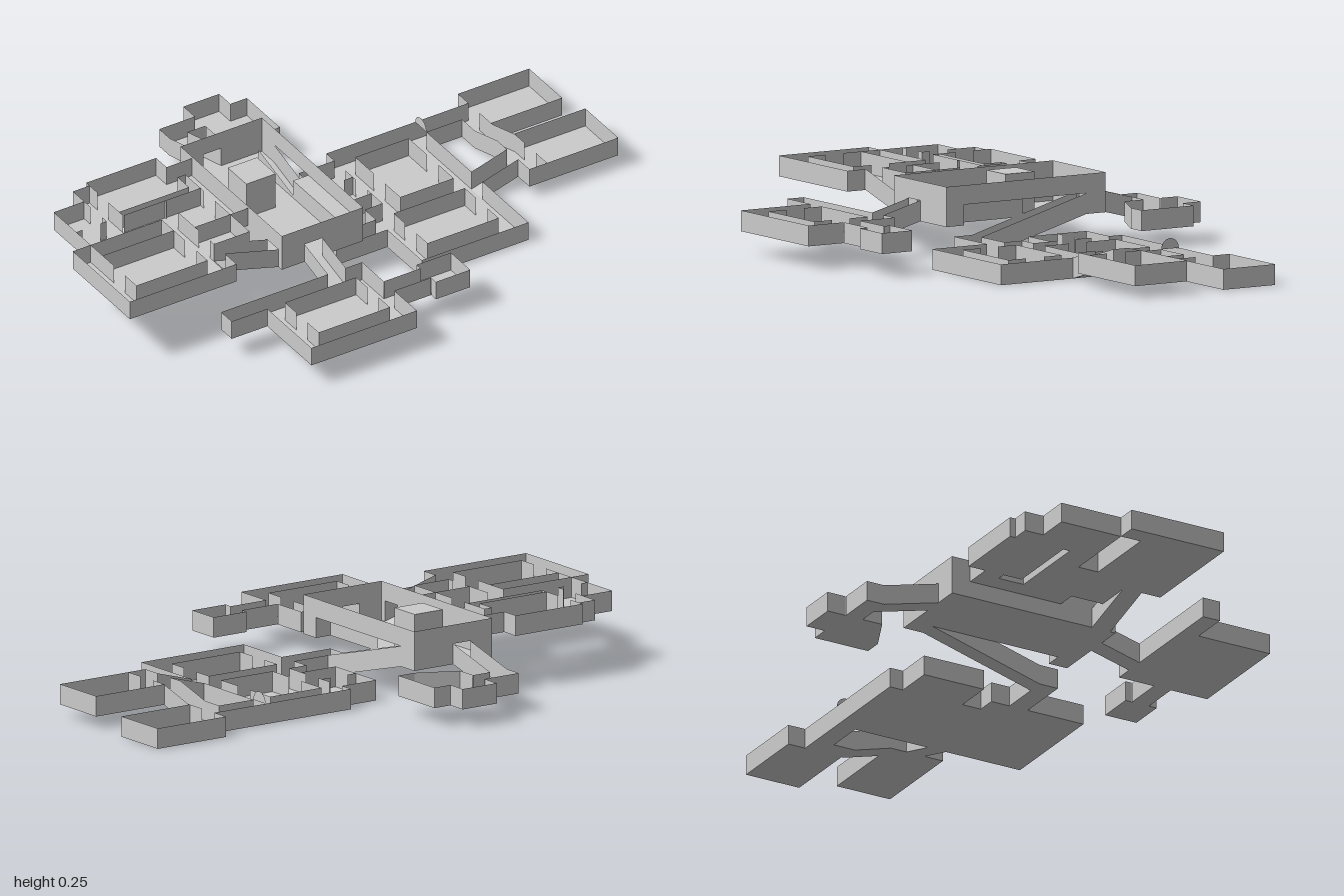
import * as THREE from 'three';

const H = 0.07; // storey wall height
const mat = new THREE.MeshStandardMaterial({ color: 0xcccccc, side: THREE.DoubleSide, flatShading: true });

// Doorway centres [x, z]; any wall passing through one is cut by a corridor width
const doors = [
  // hall and its ramps
  [-0.245, 0.24], [-0.245, 0.385], [-0.245, -0.39], [-0.245, -0.6], [-0.37, 0.185], [-0.58, 0.185],
  [-0.08, -0.315], [-0.08, 0.1], [-0.05, 0.135], [0.09, 0.135],
  // north
  [-0.14, -0.632],
  // south
  [-0.56, 0.415], [-0.145, 0.552], [0, 0.552], [-0.49, 0.555], [-0.21, 0.555],
  // east
  [0.51, -0.285], [0.51, 0.065], [0.65, 0.065], [0.685, -0.25], [0.685, -0.17], [0.685, -0.03],
  [0.72, -0.285], [0.72, 0.065], [0.16, -0.1], [0.16, -0.235], [0.09, -0.155], [0.195, 0.03], [0.475, 0.03],
  [0.23, -0.1], [0.44, -0.1], [0.16, 0.205], [0.44, 0.205],
  // west
  [-0.47, -0.285], [-0.405, -0.25], [-0.44, -0.1], [-0.745, -0.28], [-0.81, -0.22], [-0.777, -0.155],
  [-0.87, -0.155], [-0.58, -0.11], [-0.58, 0.09], [-0.615, -0.065], [-0.93, 0.115], [-0.65, 0.115],
];

function mesh(name, coords, index) {
  const g = new THREE.BufferGeometry();
  g.setAttribute('position', new THREE.Float32BufferAttribute(coords, 3));
  g.setIndex(index);
  g.computeVertexNormals();
  const m = new THREE.Mesh(g, mat);
  m.name = name;
  return m;
}

// Floor plate; points are [x, z, y]
function floor(pts) {
  const tris = THREE.ShapeUtils.triangulateShape(pts.map(p => new THREE.Vector2(p[0], -p[1])), []);
  return mesh('floor', pts.flatMap(p => [p[0], p[2], p[1]]), tris.flat());
}

// Upright panel between two floor points
function panel(a, b, lo, hi) {
  return mesh('wall', [a[0], a[2] + lo, a[1], b[0], b[2] + lo, b[1],
    b[0], b[2] + hi, b[1], a[0], a[2] + hi, a[1]], [0, 1, 2, 0, 2, 3]);
}

// Wall with doorways cut out; tall walls keep a lintel above the opening
function wall(group, a, b, h) {
  const dx = b[0] - a[0], dz = b[1] - a[1], len = Math.hypot(dx, dz);
  const at = s => a.map((v, i) => v + (b[i] - v) * s / len);
  const cuts = doors
    .filter(d => Math.abs((d[0] - a[0]) * dz - (d[1] - a[1]) * dx) / len < 0.008)
    .map(d => ((d[0] - a[0]) * dx + (d[1] - a[1]) * dz) / len)
    .filter(t => t > 0.01 && t < len - 0.01)
    .sort((p, q) => p - q);
  let s = 0;
  for (const t of cuts) {
    const from = Math.max(0, t - 0.035), to = Math.min(len, t + 0.035);
    if (from - s > 0.006) group.add(panel(at(s), at(from), 0, h));
    if (h > H + 0.01) group.add(panel(at(from), at(to), H, h));
    s = to;
  }
  if (len - s > 0.006) group.add(panel(at(s), b, 0, h));
}

export function createModel() {
  const model = new THREE.Group();
  const part = name => {
    const g = new THREE.Group();
    g.name = name;
    model.add(g);
    return g;
  };
  // Open-topped space over any outline
  const cell = (name, pts, hasFloor = true, h = H) => {
    const g = part(name);
    if (hasFloor) g.add(floor(pts));
    pts.forEach((p, i) => wall(g, p, pts[(i + 1) % pts.length], h));
    return g;
  };
  const rect = (x0, x1, z0, z1, y) => [[x0, z0, y], [x1, z0, y], [x1, z1, y], [x0, z1, y]];
  const room = (name, x0, x1, z0, z1, y) => cell(name, rect(x0, x1, z0, z1, y));
  const inner = (name, x0, x1, z0, z1, y) => cell(name, rect(x0, x1, z0, z1, y), false);
  const rampX = (name, x0, x1, z0, z1, y0, y1) =>
    cell(name, [[x0, z0, y0], [x1, z0, y1], [x1, z1, y1], [x0, z1, y0]]);
  const rampZ = (name, x0, x1, z0, z1, y0, y1) =>
    cell(name, [[x0, z0, y0], [x1, z0, y0], [x1, z1, y1], [x0, z1, y1]]);

  // Central hall, notched for the stairwell on its left side
  const hy = 0.115, top = 0.25;
  const hall = part('hall');
  const outline = [[-0.11, 0.17], [-0.05, 0.17], [-0.05, 0.24], [-0.37, 0.24], [-0.37, -0.39],
    [-0.05, -0.39], [-0.05, -0.315], [-0.11, -0.315]].map(p => [...p, hy]);
  hall.add(floor(outline));
  for (let i = 1; i < 6; i++) wall(hall, outline[i], outline[i + 1], top - hy);
  // Ledge over the stairwell, its supports and outer wall
  hall.add(floor(rect(-0.11, -0.05, -0.1, 0.17, 0.185)));
  hall.add(panel([-0.11, -0.1, hy], [-0.11, 0.17, hy], 0, H));
  hall.add(panel([-0.11, 0.17, hy], [-0.05, 0.17, hy], 0, H));
  hall.add(panel([-0.05, -0.315, 0.185], [-0.05, 0.17, 0.185], 0, top - 0.185));
  const pillar = new THREE.Mesh(new THREE.BoxGeometry(0.115, top - hy, 0.115), mat);
  pillar.name = 'pillar';
  pillar.position.set(-0.247, (top + hy) / 2, -0.142);
  hall.add(pillar);

  // Ramps leaving the hall
  rampZ('eastRamp', -0.11, -0.05, -0.315, 0.1, hy, 0);
  rampZ('southRamp', -0.28, -0.21, 0.24, 0.385, hy, 0.077);
  rampZ('northRamp', -0.28, -0.21, -0.6, -0.39, 0.06, hy);
  rampX('westRamp', -0.58, -0.37, 0.15, 0.22, 0.175, hy);

  // North wing
  room('northCorridor', -0.28, -0.14, -0.665, -0.6, 0.06);
  cell('northRoom', [[-0.14, -0.735], [0, -0.735], [0, -0.665], [0.065, -0.665], [0.065, -0.46],
    [0, -0.46], [-0.14, -0.525]].map(p => [...p, 0.06]));

  // South wing
  const sy = 0.077;
  room('southGallery', -0.56, -0.145, 0.385, 0.725, sy);
  inner('southChamber', -0.49, -0.21, 0.45, 0.66, sy);
  room('southSideCorridor', -0.7, -0.56, 0.385, 0.45, sy);
  room('southPassage', -0.145, 0, 0.52, 0.585, sy);
  room('southSmallRoom', 0, 0.135, 0.495, 0.615, sy);

  // East wing
  cell('eastLanding', rect(-0.11, -0.05, 0.1, 0.17, 0));
  room('eastPassage', -0.05, 0.09, 0.1, 0.17, 0);
  room('eastGallery', 0.09, 0.51, 0.03, 0.385, 0);
  inner('eastChamber', 0.16, 0.44, 0.1, 0.31, 0);
  room('eastBackGallery', 0.16, 0.51, -0.32, 0.03, 0);
  inner('eastBackChamber', 0.23, 0.44, -0.25, 0.03, 0);
  room('eastClosetBack', 0.02, 0.16, -0.27, -0.155, 0);
  room('eastClosetFront', 0.02, 0.16, -0.155, -0.04, 0);
  rampX('eastUpRamp', 0.51, 0.65, 0.03, 0.1, 0, 0.04);
  room('eastUpperPassage', 0.65, 0.72, -0.03, 0.17, 0.04);
  rampZ('eastDownRamp', 0.65, 0.72, -0.17, -0.03, 0, 0.04);
  room('eastLink', 0.65, 0.72, -0.25, -0.17, 0);
  room('eastBackPassage', 0.51, 0.72, -0.32, -0.25, 0);
  room('eastUpperRoom', 0.72, 1, -0.035, 0.17, 0.04);
  room('eastLowerRoom', 0.72, 1, -0.385, -0.18, 0);
  const arch = new THREE.Mesh(new THREE.CircleGeometry(0.035, 16, 0, Math.PI), mat);
  arch.name = 'doorArch';
  arch.rotation.y = Math.PI / 2;
  arch.position.set(0.51, H, -0.285);
  model.add(arch);

  // West wing
  const wy = 0.173;
  cell('westGallery', [[-1, -0.065], [-0.93, -0.065], [-0.93, 0.01], [-0.65, 0.01], [-0.65, -0.065],
    [-0.58, -0.065], [-0.58, 0.29], [-1, 0.29]].map(p => [...p, wy]));
  inner('westChamber', -0.93, -0.65, 0.01, 0.22, wy);
  room('westCrossCorridor', -0.93, -0.58, -0.155, -0.065, wy);
  room('westCloset', -0.93, -0.81, -0.295, -0.155, wy);
  room('westSideCorridor', -0.81, -0.745, -0.365, -0.155, wy);
  room('westBackRoom', -0.745, -0.47, -0.385, -0.18, wy);
  room('westInnerRoom', -0.58, -0.44, -0.155, 0.03, wy);
  room('westAnteroom', -0.58, -0.44, 0.03, 0.15, wy);
  room('westBackPassage', -0.47, -0.37, -0.32, -0.25, wy);
  room('westHallPassage', -0.44, -0.37, -0.25, 0.03, wy);

  return model;
}
